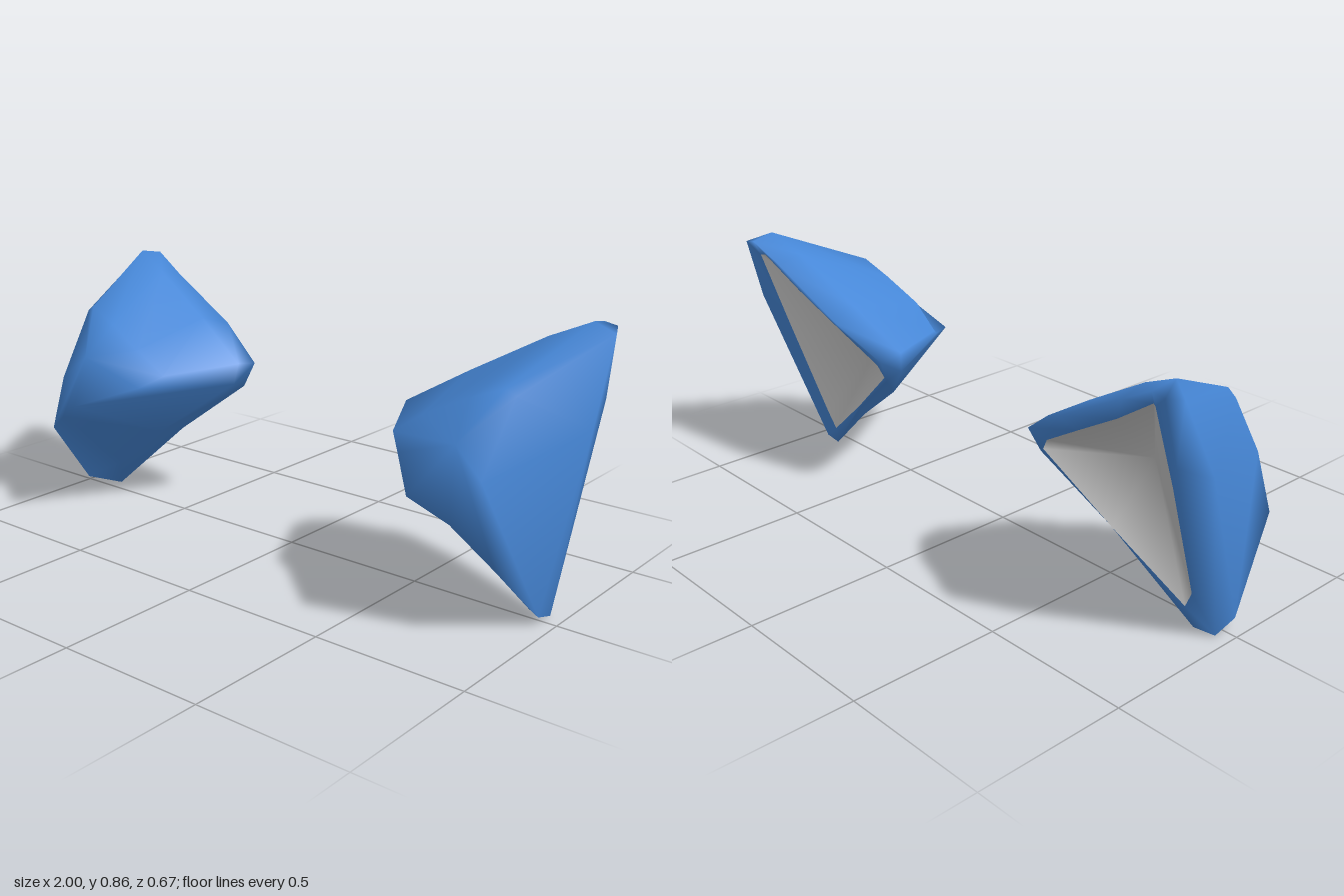
import * as THREE from 'three';

// Matching cross-section loops, running from the open back to the front.
// Order in each loop: top, inner corner, bottom, outer edge.
const opening = [
  [0.90, 0.79, -0.30], [0.75, 0.69, -0.27], [0.57, 0.585, -0.235], [0.41, 0.49, -0.20],
  [0.385, 0.45, -0.19], [0.62, 0.255, -0.13], [0.86, 0.07, -0.07],
  [0.89, 0.13, -0.08], [0.91, 0.52, -0.215], [0.915, 0.79, -0.31],
];
const backRim = [
  [0.92, 0.84, -0.333], [0.80, 0.775, -0.31], [0.53, 0.63, -0.28], [0.355, 0.52, -0.225],
  [0.375, 0.44, -0.19], [0.62, 0.25, -0.125], [0.88, 0, -0.05],
  [0.955, 0.003, -0.043], [0.97, 0.62, -0.278], [0.965, 0.832, -0.333],
];
const widest = [
  [0.93, 0.855, -0.25], [0.80, 0.797, -0.22], [0.56, 0.66, -0.18], [0.355, 0.535, -0.14],
  [0.37, 0.46, -0.13], [0.60, 0.275, 0.01], [0.80, 0.12, 0.02],
  [0.96, 0.03, 0.04], [0.998, 0.56, -0.15], [0.988, 0.82, -0.28],
];
const front = [
  [0.84, 0.71, 0.087], [0.73, 0.665, 0.10], [0.59, 0.595, 0.12], [0.48, 0.52, 0.11],
  [0.54, 0.48, 0.17], [0.685, 0.425, 0.333], [0.80, 0.355, 0.288],
  [0.905, 0.285, 0.245], [0.86, 0.475, 0.225], [0.875, 0.69, 0.08],
];
const frontCentre = [0.76, 0.56, 0.208];

// Deepest point of the hollow
const hollowTip = [0.66, 0.455, 0];

// Skin joining the loops and closing on a centre point.
function skin(loops, centre, side, facesIn) {
  const n = loops[0].length;
  const points = [...loops.flat(), centre];
  const flip = (side < 0) !== facesIn;
  const index = [];
  const tri = (a, b, c) => index.push(...(flip ? [a, c, b] : [a, b, c]));
  loops.forEach((_, k) => {
    for (let i = 0; i < n; i++) {
      const a = k * n + i;
      const b = k * n + ((i + 1) % n);
      if (k === loops.length - 1) {
        tri(a, b, points.length - 1);
      } else {
        tri(a, b, b + n);
        tri(a, b + n, a + n);
      }
    }
  });
  const geometry = new THREE.BufferGeometry();
  const positions = points.flatMap(([x, y, z]) => [x * side, y, z]);
  geometry.setAttribute('position', new THREE.Float32BufferAttribute(positions, 3));
  geometry.setIndex(index);
  geometry.computeVertexNormals();
  return geometry;
}

export function createModel() {
  const blue = new THREE.MeshStandardMaterial({ color: 0x4687d7 });
  blue.name = 'blue';
  const grey = new THREE.MeshStandardMaterial({ color: 0xc4c4c4 });
  grey.name = 'grey';

  const model = new THREE.Group();
  model.name = 'cornerGuards';
  for (const [side, label] of [[1, 'left'], [-1, 'right']]) {
    const guard = new THREE.Group();
    guard.name = label + 'Guard';

    // Padded outer shell with its rolled rim
    const shell = new THREE.Mesh(
      skin([opening, backRim, widest, front], frontCentre, side, false), blue);
    shell.name = label + 'Shell';

    // Three-sided hollow lining, seen through the open back
    const lining = new THREE.Mesh(skin([opening], hollowTip, side, true), grey);
    lining.name = label + 'Lining';

    guard.add(shell, lining);
    model.add(guard);
  }
  return model;
}
